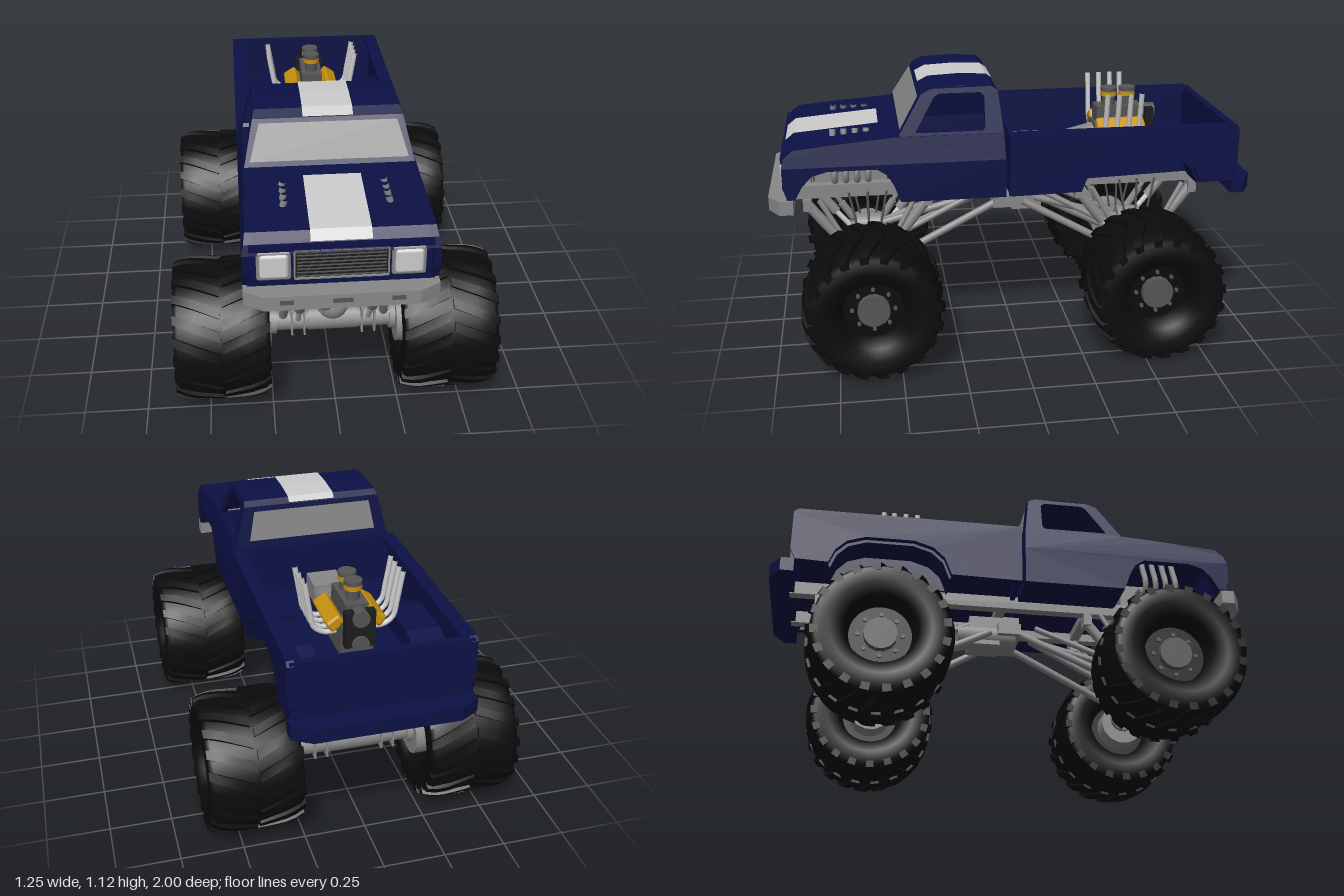
import * as THREE from 'three';
import { mergeGeometries } from 'three/addons/utils/BufferGeometryUtils.js';
import { RoundedBoxGeometry } from 'three/addons/geometries/RoundedBoxGeometry.js';

const V = (x, y, z) => new THREE.Vector3(x, y, z);
const paint = (color, side = THREE.FrontSide) => new THREE.MeshStandardMaterial({ color, side });
const navy = paint(0x0c1145, THREE.DoubleSide), white = paint(0xdedede, THREE.DoubleSide);
const glass = paint(0x888888, THREE.DoubleSide), grey = paint(0x888888), chrome = paint(0xcccccc);
const rubber = paint(0x0b0b0b), dark = paint(0x1c1c1c), steel = paint(0x555555), yellow = paint(0xc8920f);

function add(parent, name, geo, mat, x = 0, y = 0, z = 0) {
  const m = new THREE.Mesh(geo, mat);
  m.name = name;
  m.position.set(x, y, z);
  parent.add(m);
  return m;
}
const box = (p, name, mat, w, h, d, x, y, z) => add(p, name, new THREE.BoxGeometry(w, h, d), mat, x, y, z);

// Cylinder between two points
function rod(p, name, mat, a, b, r, r2 = r) {
  const d = b.clone().sub(a);
  const m = add(p, name, new THREE.CylinderGeometry(r2, r, d.length(), 14), mat);
  m.position.copy(a).addScaledVector(d, 0.5);
  m.quaternion.setFromUnitVectors(V(0, 1, 0), d.normalize());
  return m;
}
const tube = (p, name, mat, pts, r) =>
  add(p, name, new THREE.TubeGeometry(new THREE.CatmullRomCurve3(pts), 14, r, 8), mat);

const toShape = pts => new THREE.Shape(pts.map(q => new THREE.Vector2(...q)));

// Mirrored pair of side panels from a (z, y) outline, leaning inward by k per unit height above y0
function panels(p, name, mat, pts, x0, t, k = 0, y0 = 0, hole) {
  const s = toShape(pts);
  if (hole) s.holes.push(toShape(hole));
  const g = new THREE.ExtrudeGeometry(s, { depth: t, bevelEnabled: false }).rotateY(-Math.PI / 2);
  const a = g.attributes.position;
  for (let i = 0; i < a.count; i++) a.setX(i, a.getX(i) + x0 - k * (a.getY(i) - y0));
  g.computeVertexNormals();
  add(p, name, g, mat);
  add(p, name, g, mat).scale.x = -1;
}

// Sheet spanning left to right through rows of [z, y, halfWidth]
function skin(p, name, mat, rows) {
  const v = [];
  for (let i = 0; i + 1 < rows.length; i++) {
    const [z, y, w] = rows[i], [z2, y2, w2] = rows[i + 1];
    v.push(-w, y, z, w, y, z, w2, y2, z2, -w, y, z, w2, y2, z2, -w2, y2, z2);
  }
  const g = new THREE.BufferGeometry();
  g.setAttribute('position', new THREE.Float32BufferAttribute(v, 3));
  g.computeVertexNormals();
  return add(p, name, g, mat);
}

function bumper(p, name, mat, s) {
  const pts = [[-0.355, 0.9], [0.355, 0.9], [0.355, 0.955], [0.28, 1], [-0.28, 1], [-0.355, 0.955]];
  const g = new THREE.ExtrudeGeometry(toShape(pts), { depth: 0.058, bevelEnabled: false }).rotateX(Math.PI / 2);
  add(p, name, g, mat, 0, 0.686, 0).rotation.y = s < 0 ? Math.PI : 0;
}

function buildCab() {
  const g = new THREE.Group();
  g.name = 'cab';
  panels(g, 'fenderAndDoor', navy, [[0.05, 0.66], [0.475, 0.66], [0.5, 0.73], [0.525, 0.775], [0.565, 0.802],
    [0.76, 0.802], [0.82, 0.785], [0.86, 0.745], [0.89, 0.69], [0.92, 0.69], [0.937, 0.74], [0.937, 0.82], [0.05, 0.82]], 0.355, 0.03);
  panels(g, 'shoulder', navy, [[0.05, 0.82], [0.937, 0.82], [0.925, 0.86], [0.89, 0.89], [0.7, 0.908], [0.49, 0.925],
    [0.055, 0.925]], 0.355, 0.03, 0.2, 0.82);
  panels(g, 'windowFrame', navy, [[0.055, 0.92], [0.48, 0.92], [0.38, 1.085], [0.34, 1.104], [0.1, 1.107], [0.075, 1.09]],
    0.332, 0.025, 0.24, 0.92,
    [[0.41, 0.937], [0.14, 0.937], [0.13, 0.95], [0.13, 1.07], [0.145, 1.085], [0.31, 1.085], [0.33, 1.072]]);
  skin(g, 'hood', navy, [[0.937, 0.82, 0.35], [0.925, 0.86, 0.345], [0.89, 0.89, 0.338], [0.7, 0.908, 0.336], [0.47, 0.927, 0.334]]);
  skin(g, 'hoodStripe', white, [[0.928, 0.866, 0.11], [0.892, 0.895, 0.11], [0.7, 0.912, 0.11], [0.55, 0.925, 0.11]]);
  skin(g, 'windshieldFrame', navy, [[0.48, 0.92, 0.332], [0.38, 1.085, 0.292]]);
  skin(g, 'windshield', glass, [[0.47, 0.946, 0.307], [0.394, 1.072, 0.268]]);
  skin(g, 'roof', navy, [[0.38, 1.085, 0.292], [0.34, 1.108, 0.282], [0.22, 1.114, 0.28], [0.1, 1.109, 0.282], [0.075, 1.09, 0.29]]);
  skin(g, 'roofStripe', white, [[0.382, 1.09, 0.098], [0.34, 1.112, 0.098], [0.22, 1.118, 0.098], [0.1, 1.113, 0.098], [0.075, 1.095, 0.098]]);
  skin(g, 'cabBack', navy, [[0.075, 1.09, 0.29], [0.055, 0.92, 0.332], [0.05, 0.82, 0.35], [0.05, 0.66, 0.35]]);
  skin(g, 'rearWindow', glass, [[0.068, 1.07, 0.25], [0.053, 0.945, 0.275]]);
  box(g, 'cabFloor', navy, 0.69, 0.02, 0.42, 0, 0.67, 0.26);
  box(g, 'firewall', navy, 0.66, 0.25, 0.015, 0, 0.79, 0.47);
  // Nose: fascia, barred grille and square lamps
  box(g, 'fascia', navy, 0.68, 0.17, 0.03, 0, 0.77, 0.91);
  box(g, 'grilleSurround', navy, 0.66, 0.025, 0.03, 0, 0.847, 0.925);
  box(g, 'grille', dark, 0.33, 0.118, 0.01, 0, 0.777, 0.928);
  for (let i = 0; i < 8; i++) box(g, 'grilleBar', steel, 0.32, 0.004, 0.008, 0, 0.727 + i * 0.0143, 0.933);
  for (const y of [0.718, 0.836]) box(g, 'grilleTrim', grey, 0.335, 0.006, 0.016, 0, y, 0.932);
  for (const s of [-1, 1]) {
    box(g, 'grilleTrim', grey, 0.006, 0.12, 0.016, s * 0.168, 0.777, 0.932);
    add(g, 'lampBezel', new RoundedBoxGeometry(0.125, 0.12, 0.024, 2, 0.01), grey, s * 0.242, 0.773, 0.926);
    add(g, 'headlight', new RoundedBoxGeometry(0.105, 0.1, 0.03, 3, 0.014), white, s * 0.242, 0.773, 0.931);
    // Front exhaust pipes curling up through the hood
    for (let i = 0; i < 4; i++) {
      const z = 0.6 + i * 0.045;
      tube(g, 'headerPipe', grey, [V(s * 0.1, 0.77, z), V(s * 0.19, 0.75, z), V(s * 0.225, 0.71, z),
        V(s * 0.25, 0.75, z), V(s * 0.215, 0.84, z), V(s * 0.19, 0.928, z)], 0.013);
    }
  }
  box(g, 'frontEngine', grey, 0.24, 0.16, 0.3, 0, 0.72, 0.67);
  return g;
}

function buildBed() {
  const g = new THREE.Group();
  g.name = 'bed';
  const arch = [[-0.765, 0.68], [-0.74, 0.74], [-0.695, 0.785], [-0.62, 0.81], [-0.42, 0.81], [-0.34, 0.785], [-0.29, 0.74], [-0.26, 0.665]];
  panels(g, 'bedSide', navy, [[0.035, 0.66], [0.035, 0.92], [-0.9, 0.92], [-0.92, 0.905], [-0.92, 0.73], [-0.9, 0.685], ...arch], 0.355, 0.03);
  const inner = arch.map(([z, y]) => [z * 0.97 - 0.015, y - 0.012]).reverse();
  panels(g, 'wheelTub', navy, [...arch, ...inner], 0.33, 0.14);
  panels(g, 'tubWall', navy, arch, 0.2, 0.012);
  for (const s of [-1, 1]) {
    box(g, 'bedRail', navy, 0.05, 0.02, 0.93, s * 0.325, 0.909, -0.43);
    box(g, 'floorSide', navy, 0.15, 0.02, 0.29, s * 0.265, 0.71, -0.11);
    box(g, 'floorSide', navy, 0.15, 0.02, 0.15, s * 0.265, 0.71, -0.83);
  }
  box(g, 'bedFloor', navy, 0.39, 0.02, 0.93, 0, 0.71, -0.435);
  box(g, 'bedFront', navy, 0.7, 0.255, 0.02, 0, 0.792, 0.024);
  box(g, 'tailgate', navy, 0.69, 0.23, 0.03, 0, 0.8, -0.903);
  return g;
}

// Bed engine, with its gearbox pointing forward
function buildEngine() {
  const g = new THREE.Group();
  g.name = 'engine';
  box(g, 'block', steel, 0.13, 0.15, 0.22, 0, 0.79, -0.49);
  rod(g, 'bellHousing', grey, V(0, 0.77, -0.39), V(0, 0.75, -0.16), 0.085, 0.05);
  box(g, 'gearbox', grey, 0.13, 0.09, 0.13, -0.015, 0.76, -0.09);
  box(g, 'intake', steel, 0.09, 0.07, 0.2, 0, 0.9, -0.49);
  box(g, 'beltCover', dark, 0.12, 0.15, 0.035, 0, 0.85, -0.62);
  for (const y of [0.79, 0.9]) rod(g, 'pulley', steel, V(0, y, -0.6), V(0, y, -0.65), 0.035);
  for (const z of [-0.53, -0.45]) {
    rod(g, 'carburettor', steel, V(0, 0.93, z), V(0, 0.98, z), 0.028);
    rod(g, 'airFilter', yellow, V(0, 0.975, z), V(0, 0.995, z), 0.036);
    rod(g, 'filterCap', steel, V(0, 0.995, z), V(0, 1.012, z), 0.036);
  }
  for (const s of [-1, 1]) {
    const c = add(g, 'valveCover', new RoundedBoxGeometry(0.065, 0.05, 0.21, 2, 0.012), yellow, s * 0.083, 0.86, -0.485);
    c.rotation.z = -s * 0.6;
    for (const z of [-0.4, -0.45, -0.5, -0.545])
      tube(g, 'exhaustPipe', chrome, [V(s * 0.07, 0.81, z), V(s * 0.12, 0.81, z), V(s * 0.16, 0.84, z),
        V(s * 0.175, 0.91, z), V(s * 0.195, 1.03, z)], 0.011);
  }
  return g;
}

// Tyre with chevron lugs, axle along x
function tyreGeometry() {
  const half = [[0.272, 0], [0.268, 0.1], [0.26, 0.165], [0.245, 0.182], [0.19, 0.185], [0.14, 0.165], [0.12, 0.09]];
  const prof = [...half.slice(1).reverse().map(([r, a]) => [r, -a]), ...half].map(q => new THREE.Vector2(...q));
  const parts = [new THREE.LatheGeometry(prof, 48).rotateZ(-Math.PI / 2)];
  for (let i = 0; i < 40; i++) {
    const s = i % 2 ? 1 : -1;
    const b = new THREE.BoxGeometry(0.18, 0.03, 0.036, 5, 1, 1), p = b.attributes.position;
    for (let j = 0; j < p.count; j++) {
      const a = p.getX(j) + s * 0.095, m = Math.abs(a);
      const th = i * Math.PI / 20 + p.getZ(j) / 0.27 + m * 1.5;
      const r = 0.268 - Math.max(0, m - 0.1) ** 2 * 2.6 + p.getY(j);
      p.setXYZ(j, a, r * Math.cos(th), r * Math.sin(th));
    }
    b.computeVertexNormals();
    parts.push(b);
  }
  return mergeGeometries(parts);
}

// One axle with wheels, shocks and links; local +z points away from the middle of the truck
function buildAxle(tyre, dist) {
  const g = new THREE.Group();
  g.name = 'axle';
  rod(g, 'axleTube', grey, V(-0.3, 0.3, 0), V(0.3, 0.3, 0), 0.042);
  rod(g, 'axleCentre', grey, V(-0.1, 0.305, 0), V(0.1, 0.305, 0), 0.05);
  add(g, 'differential', new THREE.SphereGeometry(0.065, 18, 12), grey, 0, 0.37, 0);
  rod(g, 'differentialCover', grey, V(-0.035, 0.42, -0.05), V(-0.035, 0.42, 0.05), 0.05);
  rod(g, 'pinion', steel, V(-0.035, 0.42, 0.05), V(-0.035, 0.42, 0.08), 0.03);
  rod(g, 'driveshaft', grey, V(-0.035, 0.42, -0.04), V(-0.035, 0.535, -dist + 0.12), 0.016);
  for (const s of [-1, 1]) {
    rod(g, 'axleFlange', grey, V(s * 0.225, 0.3, 0), V(s * 0.25, 0.3, 0), 0.055);
    rod(g, 'innerHub', grey, V(s * 0.25, 0.285, 0), V(s * 0.345, 0.285, 0), 0.095);
    for (const x of [0.115, 0.165]) box(g, 'axleBracket', grey, 0.008, 0.11, 0.1, s * x, 0.31, 0);
    rod(g, 'lowerLink', grey, V(s * 0.14, 0.29, -0.02), V(s * 0.09, 0.54, -dist + 0.06), 0.016);
    rod(g, 'upperLink', grey, V(s * 0.13, 0.38, -0.02), V(s * 0.07, 0.58, -dist + 0.14), 0.013);
    for (const d of [-1, 1]) {
      box(g, 'shockMount', grey, 0.06, 0.05, 0.035, s * 0.14, 0.595, d * 0.25);
      rod(g, 'shockBody', grey, V(s * 0.14, 0.59, d * 0.25), V(s * 0.14, 0.45, d * 0.14), 0.022);
      rod(g, 'shockShaft', chrome, V(s * 0.14, 0.45, d * 0.14), V(s * 0.14, 0.33, d * 0.04), 0.012);
      rod(g, 'outerShock', grey, V(s * 0.178, 0.62, d * 0.2), V(s * 0.19, 0.46, d * 0.11), 0.011);
      rod(g, 'outerShockSleeve', grey, V(s * 0.19, 0.47, d * 0.115), V(s * 0.2, 0.35, d * 0.04), 0.017);
    }
    for (const d of [-0.06, 0, 0.06]) rod(g, 'limitStrap', steel, V(s * 0.17, 0.645, d * 1.3), V(s * 0.17, 0.36, d * 0.4), 0.005);
    // Wheel
    const w = new THREE.Group();
    w.name = 'wheel';
    w.position.set(s * 0.441, 0.283, 0);
    w.rotation.y = s > 0 ? 0 : Math.PI;
    add(w, 'tyre', tyre, rubber);
    rod(w, 'rim', rubber, V(-0.09, 0, 0), V(0.09, 0, 0), 0.126);
    rod(w, 'hub', steel, V(0.09, 0, 0), V(0.12, 0, 0), 0.065);
    for (let i = 0; i < 8; i++) {
      const a = i * Math.PI / 4, y = Math.cos(a) * 0.085, z = Math.sin(a) * 0.085;
      rod(w, 'wheelNut', steel, V(0.09, y, z), V(0.1, y, z), 0.008);
    }
    g.add(w);
  }
  return g;
}

function buildChassis() {
  const g = new THREE.Group();
  g.name = 'chassis';
  for (const s of [-1, 1]) box(g, 'frameRail', grey, 0.045, 0.055, 1.84, s * 0.14, 0.652, 0);
  for (const z of [0.86, 0.36, -0.02, -0.295, -0.795]) box(g, 'crossMember', grey, 0.3, 0.04, 0.04, 0, 0.645, z);
  box(g, 'transferCase', grey, 0.13, 0.13, 0.13, -0.02, 0.55, -0.085);
  rod(g, 'transferOutput', grey, V(-0.04, 0.535, 0.05), V(-0.04, 0.535, -0.2), 0.055);
  box(g, 'linkMount', grey, 0.24, 0.05, 0.1, 0, 0.55, 0.02);
  box(g, 'transferHanger', grey, 0.13, 0.05, 0.1, 0, 0.605, 0.02);
  bumper(g, 'frontBumper', grey, 1);
  bumper(g, 'rearBumper', navy, -1);
  for (const x of [-0.2, 0, 0.2]) box(g, 'bumperSlot', steel, x ? 0.05 : 0.07, 0.018, 0.004, x, 0.66, 0.999);
  return g;
}

export function createModel() {
  const model = new THREE.Group();
  model.name = 'monsterTruck';
  const tyre = tyreGeometry();
  const front = buildAxle(tyre, 0.605), rear = buildAxle(tyre, 0.545);
  front.position.z = 0.605;
  rear.position.z = -0.545;
  rear.rotation.y = Math.PI;
  model.add(buildCab(), buildBed(), buildEngine(), buildChassis(), front, rear);
  return model;
}
